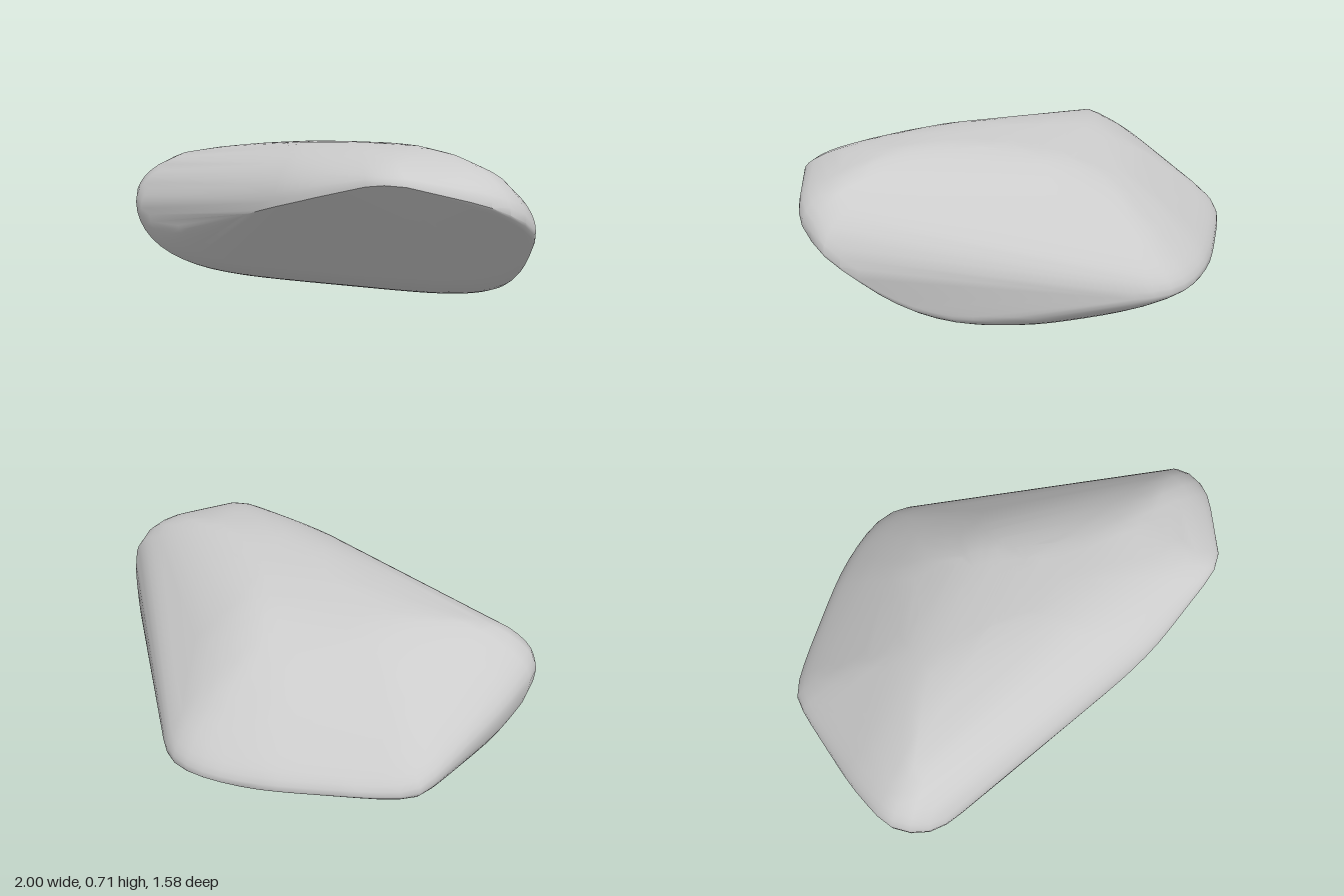
import * as THREE from 'three';
import { toCreasedNormals } from 'three/addons/utils/BufferGeometryUtils.js';
import { ConvexGeometry } from 'three/addons/geometries/ConvexGeometry.js';

const SEGMENTS = 72;
const RINGS = 16;
const CENTRE = new THREE.Vector3(0.05, 0, 0);

// Outer edge of the stone, a closed loop of x, y, z
const rim = new THREE.CatmullRomCurve3([
  [1, 0.42, 0.47], [0.94, 0.49, 0.59], [0.83, 0.54, 0.67], [0.71, 0.56, 0.715],
  [0.6, 0.6, 0.78], [0.5, 0.6, 0.785], [0.36, 0.57, 0.745], [0.18, 0.52, 0.7],
  [0, 0.47, 0.63], [-0.4, 0.35, 0.42], [-0.7, 0.31, 0.27], [-0.94, 0.37, 0.14],
  [-1, 0.4, 0], [-0.94, 0.36, -0.19], [-0.8, 0.28, -0.44], [-0.63, 0.2, -0.69],
  [-0.55, 0.19, -0.72], [-0.3, 0.18, -0.76], [0.05, 0.17, -0.79], [0.3, 0.17, -0.75],
  [0.4, 0.17, -0.68], [0.55, 0.16, -0.41], [0.67, 0.14, -0.18], [0.79, 0.14, 0.05],
  [0.9, 0.23, 0.24], [0.97, 0.34, 0.38],
].map((p) => new THREE.Vector3(...p)), true);

// Smooth height along z, from evenly spaced values between z = -0.8 and 0.8
function heightAlongZ(values) {
  const curve = new THREE.SplineCurve(values.map((y, i) => new THREE.Vector2(i, y)));
  return (z) => curve.getPoint(THREE.MathUtils.clamp((z + 0.8) / 1.6, 0, 1)).y;
}
const topHeight = heightAlongZ([0.34, 0.43, 0.53, 0.62, 0.67, 0.7, 0.722, 0.73, 0.72]);
const baseHeight = heightAlongZ([0.13, 0.065, 0.018, 0.004, 0.035, 0.115, 0.28, 0.44, 0.6]);

function stoneGeometry() {
  const edge = rim.getSpacedPoints(SEGMENTS).slice(0, SEGMENTS);

  // Plan distance from a point to the edge
  const sides = edge.map((p, j) => {
    const q = edge[(j + 1) % SEGMENTS];
    return new THREE.Line3(new THREE.Vector3(p.x, 0, p.z), new THREE.Vector3(q.x, 0, q.z));
  });
  const nearest = new THREE.Vector3();
  const edgeDistance = (point) => Math.min(...sides.map(
    (side) => side.closestPointToPoint(point, true, nearest).distanceTo(point)));

  // Rings of points above and below, rounded in from the edge
  const points = [...edge];
  for (let i = 1; i <= RINGS; i++) {
    const s = Math.cos((i / RINGS) * Math.PI / 2);
    for (const p of edge) {
      const { x, z } = new THREE.Vector3().lerpVectors(CENTRE, p, s);
      const shoulder = 0.45 + 0.3 * Math.abs(x);
      const t = Math.min(edgeDistance(new THREE.Vector3(x, 0, z)) / shoulder, 1);
      const topBulge = Math.sqrt(1 - (1 - t) ** 2);
      const baseBulge = Math.sqrt(1 - s ** 5);
      points.push(
        new THREE.Vector3(x, THREE.MathUtils.lerp(p.y, topHeight(z), topBulge), z),
        new THREE.Vector3(x, THREE.MathUtils.lerp(p.y, baseHeight(z), baseBulge), z),
      );
    }
  }

  // Worn stone: a convex skin over the rings, creased only at its sharp edge
  return toCreasedNormals(new ConvexGeometry(points), 0.7);
}

export function createModel() {
  const group = new THREE.Group();
  group.name = 'rock';
  const stone = new THREE.Mesh(stoneGeometry(), new THREE.MeshStandardMaterial({ color: 0xcccccc }));
  stone.name = 'stone';
  group.add(stone);
  return group;
}
